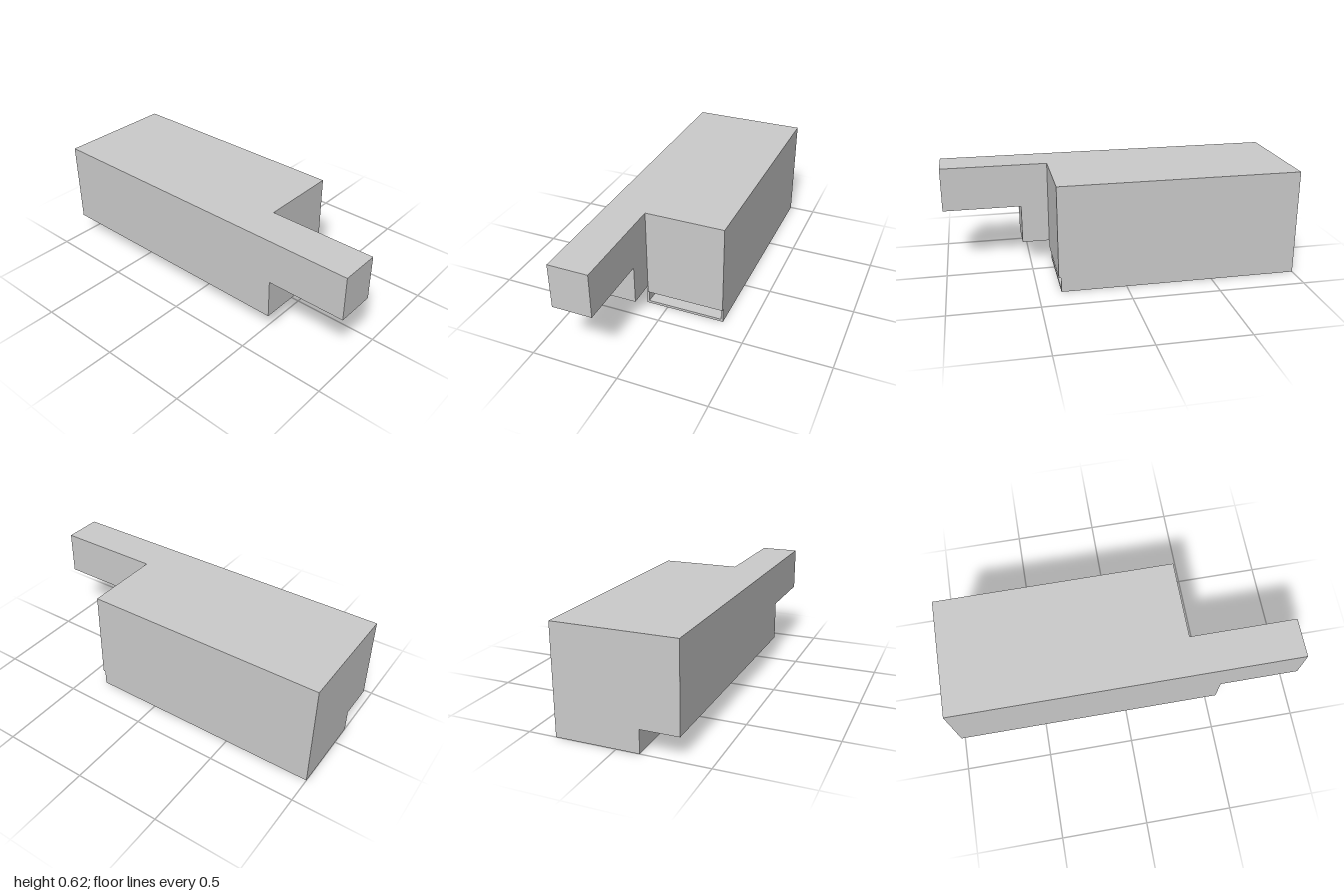
import * as THREE from 'three';

export function createModel() {
  const group = new THREE.Group();
  const material = new THREE.MeshStandardMaterial({ color: 0xcccccc, flatShading: true });

  const add = (name, geometry) => {
    const mesh = new THREE.Mesh(geometry, material);
    mesh.name = name;
    group.add(mesh);
  };

  // Box given by its lower and upper corners
  const box = (name, [x0, y0, z0], [x1, y1, z1]) => {
    const g = new THREE.BoxGeometry(x1 - x0, y1 - y0, z1 - z0);
    g.translate((x0 + x1) / 2, (y0 + y1) / 2, (z0 + z1) / 2);
    add(name, g);
  };

  // Outline in x, y pushed from z0 to z1
  const prism = (name, points, z0, z1) => {
    const shape = new THREE.Shape(points.map(([x, y]) => new THREE.Vector2(x, y)));
    const g = new THREE.ExtrudeGeometry(shape, { depth: z1 - z0, bevelEnabled: false });
    g.translate(0, 0, z0);
    add(name, g);
  };

  // Main block above the tray
  box('mainBody', [-0.115, 0.087, -1], [0.341, 0.615, 0.385]);

  // Stepped side wing: side outline in z, y, pushed across x
  const wing = new THREE.Shape([
    [-1, 0.13], [0.545, 0.13], [0.545, 0.359], [1, 0.359], [1, 0.615], [-1, 0.615],
  ].map(([z, y]) => new THREE.Vector2(-z, y)).reverse());
  const wingGeometry = new THREE.ExtrudeGeometry(wing, { depth: 0.226, bevelEnabled: false });
  wingGeometry.rotateY(Math.PI / 2);
  wingGeometry.translate(-0.341, 0, 0);
  add('sideWing', wingGeometry);

  // Open-fronted tray: floor and two side walls, closed at the back
  prism('trayShell', [
    [-0.128, 0], [0.341, 0], [0.341, 0.087], [0.328, 0.087],
    [0.328, 0.015], [-0.115, 0.015], [-0.115, 0.13], [-0.128, 0.13],
  ], -1, 0.372);
  box('trayBack', [-0.115, 0.015, -1], [0.328, 0.087, -0.987]);

  // Slanted blocks hanging inside the tray
  prism('rightHanger', [[-0.057, 0.057], [0, 0.03], [0, 0.087], [-0.057, 0.087]], -0.4, -0.3);
  prism('leftHanger', [[0.135, 0.022], [0.191, 0.057], [0.191, 0.087], [0.135, 0.087]], -0.4, -0.3);

  return group;
}
